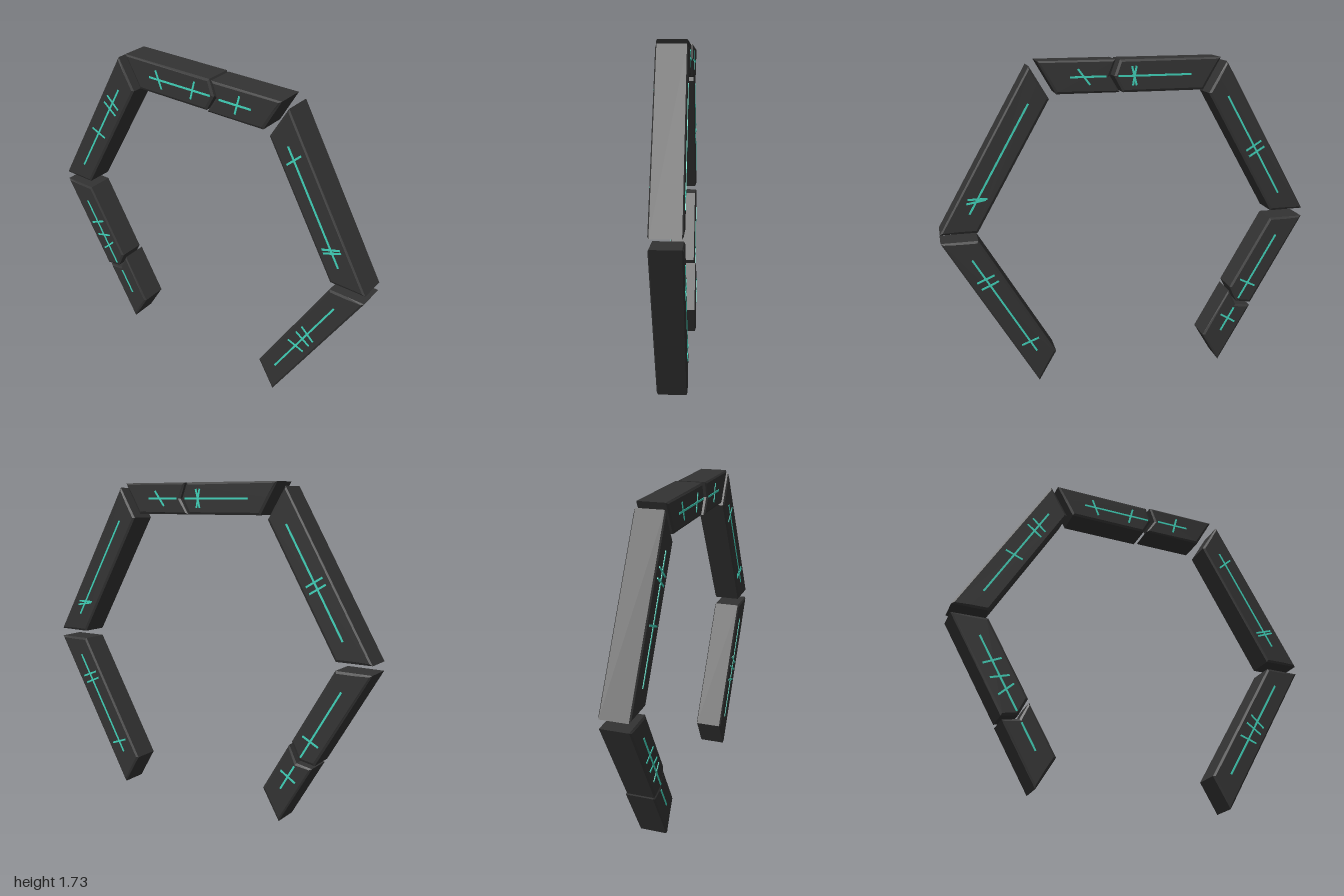
import * as THREE from 'three';

const CENTRE_Y = 0.8545; // centre of the hexagonal ring
const APOTHEM = 0.795;   // ring centre to the middle of each side
const HALF_W = 0.0825;   // half width of a side
const HALF_D = 0.077;    // half depth of a side
const BEVEL = 0.006;

// Stone ends: positions along the side at its outer edge, middle and inner edge
const MITRE_START = [-0.48, -0.433, -0.386];
const MITRE_END = MITRE_START.map((u) => -u);

// Outward angle of the side, z shift, and cross marks as [position along side, tilt in degrees]
const STONES = [
  { name: 'upperLeftStone', angle: 30, z: 0.005,
    front: [[0.246, 13], [-0.219, -12], [-0.237, -9]],
    back: [[-0.228, -30], [-0.244, -40]] },
  { name: 'topShortStone', angle: 90, z: 0.005, end: [-0.08, -0.11, -0.06],
    front: [[-0.238, -14]],
    back: [[-0.245, -37]] },
  { name: 'topLongStone', angle: 90, z: -0.005, start: [-0.06, -0.09, -0.045],
    front: [[0.255, 22], [0.038, -14]],
    back: [[0.013, -14], [0.015, 11]] },
  { name: 'upperRightStone', angle: 150, z: 0.005,
    front: [[0.032, 8], [-0.169, -9], [-0.217, -13]],
    back: [[0, -1], [0.038, -1]] },
  { name: 'lowerRightStone', angle: 210, z: 0.005, end: [0.095, 0.125, 0.069],
    front: [[-0.174, -6], [-0.086, -14], [-0.015, 13]],
    back: [[0, -3]] },
  { name: 'brokenTipStone', angle: 210, z: -0.005, start: [0.112, 0.143, 0.087],
    front: [],
    back: [[0.234, 2]] },
  { name: 'lowerLeftStone', angle: 330, z: 0.005,
    front: [[0.049, -13], [-0.002, -5], [-0.078, 10]],
    back: [[0.189, 8], [0.147, 6], [-0.25, 10]] },
];

export function createModel() {
  const stoneMat = new THREE.MeshStandardMaterial({ color: 0x333333 });
  stoneMat.name = 'darkStone';
  const glyphMat = new THREE.MeshStandardMaterial({ color: 0x40d0b8 });
  glyphMat.name = 'tealInlay';

  const model = new THREE.Group();
  model.name = 'brokenStoneRing';

  // Thin inlaid line across a side, centred at u along it
  const addLine = (group, name, length, u, z, tilt) => {
    const line = new THREE.Mesh(new THREE.BoxGeometry(length, 0.01, 0.006), glyphMat);
    line.name = name;
    line.position.set(APOTHEM, u, z);
    line.rotation.z = THREE.MathUtils.degToRad(tilt);
    group.add(line);
  };

  for (const { name, angle, z, start = MITRE_START, end = MITRE_END, front, back } of STONES) {
    // Local x points outward from the ring, local y runs along the side
    const group = new THREE.Group();
    group.name = name;
    group.position.set(0, CENTRE_Y, z);
    group.rotation.z = THREE.MathUtils.degToRad(angle);

    // Block with a shallow chamfer around both faces
    const edge = (ends) => ends.map((u, i) => new THREE.Vector2(APOTHEM + (1 - i) * HALF_W, u));
    const outline = new THREE.Shape([...edge(start).reverse(), ...edge(end)]);
    const geo = new THREE.ExtrudeGeometry(outline, {
      depth: 2 * (HALF_D - BEVEL), bevelThickness: BEVEL,
      bevelSize: 0.012, bevelOffset: -0.012, bevelSegments: 1 });
    geo.translate(0, 0, BEVEL - HALF_D);
    const block = new THREE.Mesh(geo, stoneMat);
    block.name = 'block';
    group.add(block);

    // Long spine line and its cross marks on both faces
    const low = Math.max(start[1] + 0.02, -0.317);
    const high = Math.min(end[1] - 0.02, 0.317);
    for (const [side, marks, faceZ] of [['front', front, HALF_D], ['back', back, -HALF_D]]) {
      addLine(group, side + 'Spine', high - low, (low + high) / 2, faceZ, 90);
      for (const [u, tilt] of marks) addLine(group, side + 'Mark', 0.1, u, faceZ, tilt);
    }
    model.add(group);
  }
  return model;
}
